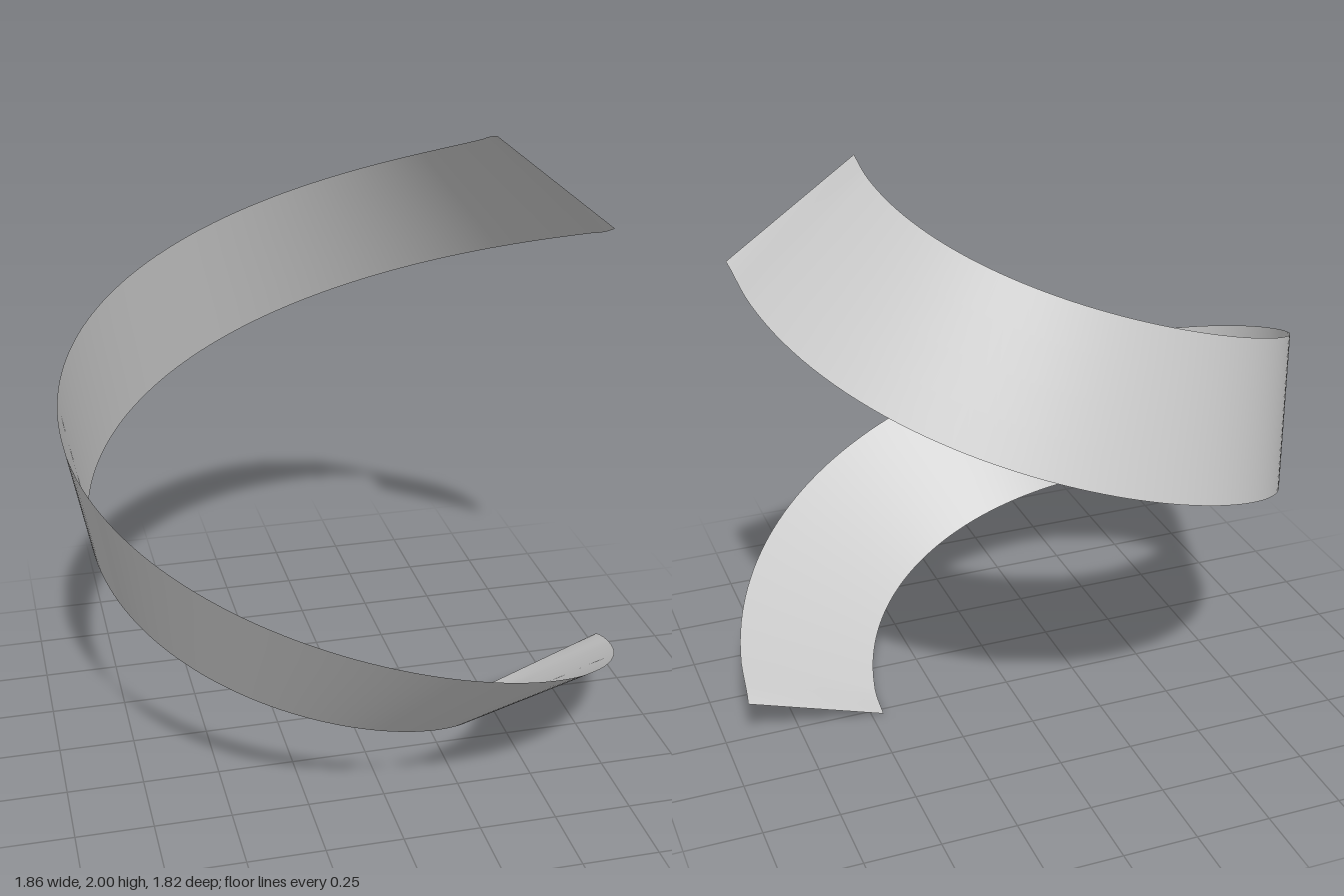
import * as THREE from 'three';

const TURN_STEPS = 36, SEGMENTS = 144, ROWS = 4;
const RADIUS = 0.79, WIDTH = 0.495, Y0 = 0.083, Y1 = 1.847;
const TWIST0 = THREE.MathUtils.degToRad(21), TWIST1 = THREE.MathUtils.degToRad(139);

// Centre line: one turn of a helix, rising from +x round by the front
function helixPath() {
  const points = [];
  for (let i = 0; i <= TURN_STEPS; i++) {
    const t = i / TURN_STEPS, a = t * Math.PI * 2;
    points.push(new THREE.Vector3(
      -0.0975 + RADIUS * Math.cos(a),
      THREE.MathUtils.lerp(Y0, Y1, t),
      -0.037 + RADIUS * Math.sin(a)));
  }
  return new THREE.CatmullRomCurve3(points);
}

// Flat strip swept along the path, turning steadily about it
function ribbonGeometry(path) {
  const geometry = new THREE.PlaneGeometry(1, 1, SEGMENTS, ROWS);
  const pos = geometry.attributes.position;
  const up = new THREE.Vector3(0, 1, 0);
  for (let i = 0; i <= SEGMENTS; i++) {
    const t = i / SEGMENTS;
    const centre = path.getPoint(t), tangent = path.getTangent(t);
    const outward = new THREE.Vector3().crossVectors(up, tangent).normalize();
    const rise = new THREE.Vector3().crossVectors(tangent, outward).normalize();
    const twist = THREE.MathUtils.lerp(TWIST0, TWIST1, t);
    const across = outward.multiplyScalar(Math.cos(twist))
      .addScaledVector(rise, Math.sin(twist));
    for (let j = 0; j <= ROWS; j++) {
      const p = centre.clone().addScaledVector(across, (0.5 - j / ROWS) * WIDTH);
      pos.setXYZ(j * (SEGMENTS + 1) + i, p.x, p.y, p.z);
    }
  }
  geometry.computeVertexNormals();
  return geometry;
}

export function createModel() {
  const group = new THREE.Group();
  group.name = 'twistedRibbon';
  const material = new THREE.MeshStandardMaterial({ color: 0xcccccc, side: THREE.DoubleSide });
  const ribbon = new THREE.Mesh(ribbonGeometry(helixPath()), material);
  ribbon.name = 'ribbon';
  group.add(ribbon);
  return group;
}
